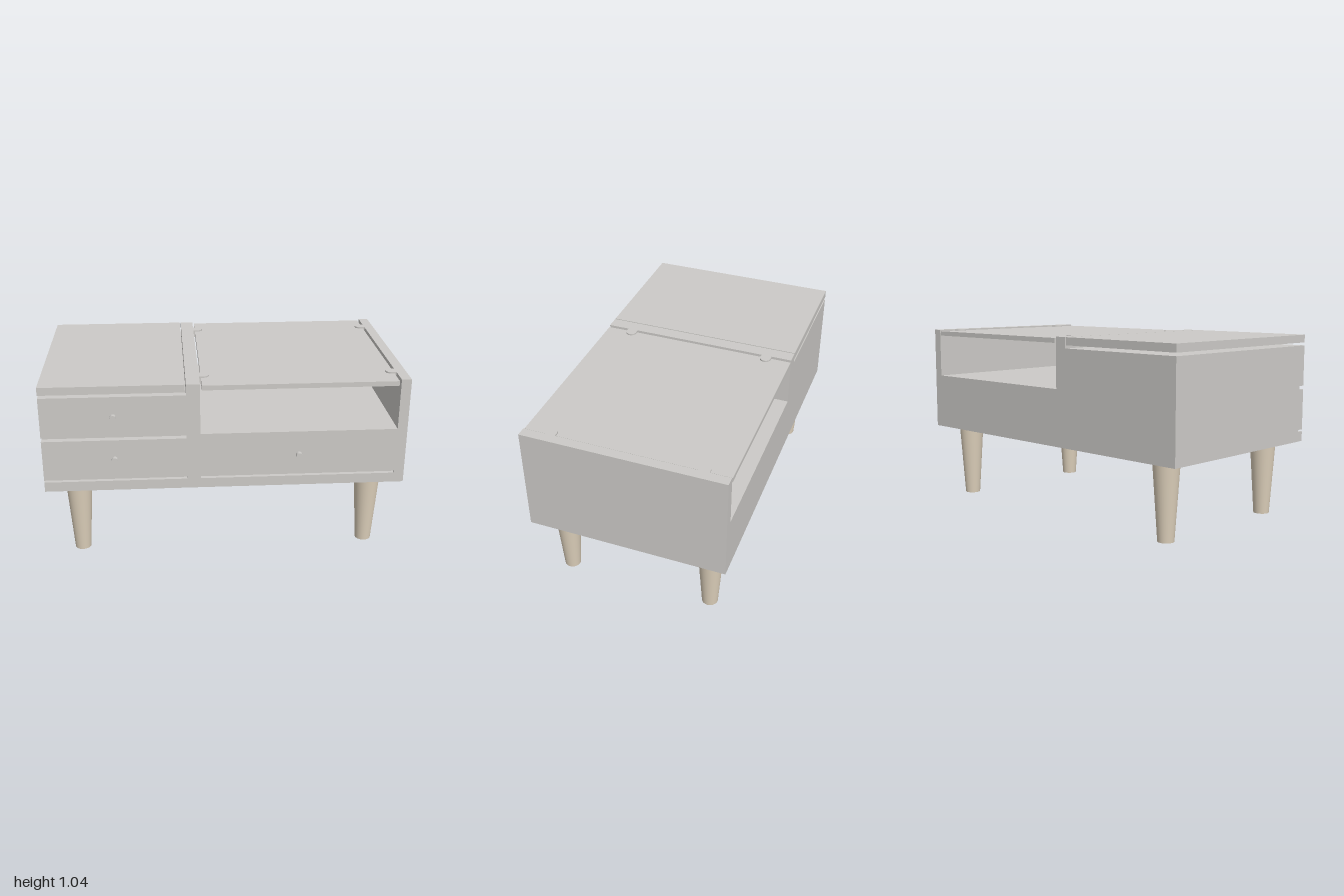
import * as THREE from 'three';

export function createModel() {
  const model = new THREE.Group();
  model.name = 'coffeeTable';
  const grey = new THREE.MeshStandardMaterial({ name: 'warm grey paint', color: 0xcccac7 });
  const wood = new THREE.MeshStandardMaterial({ name: 'pale wood', color: 0xdccfba });

  const BACK = -0.575, FRONT = 0.55, RECESS = 0.512;
  const BASE = 0.428, TOP = 1.04, SHELF = 0.752;
  const DIV_L = -0.215, DIV_R = -0.14, SIDE = 0.945;

  const add = (name, geometry, material, x = 0, y = 0, z = 0) => {
    const mesh = new THREE.Mesh(geometry, material);
    mesh.name = name;
    mesh.position.set(x, y, z);
    model.add(mesh);
    return mesh;
  };
  // box given by its limits on each axis
  const box = (name, x0, x1, y0, y1, z0, z1) =>
    add(name, new THREE.BoxGeometry(x1 - x0, y1 - y0, z1 - z0), grey,
      (x0 + x1) / 2, (y0 + y1) / 2, (z0 + z1) / 2);

  // carcass: base, closed drawer housings, divider and end panel
  box('basePanel', -1, 1, BASE, 0.484, BACK, FRONT);
  box('leftHousing', -1, DIV_L, 0.484, 0.979, BACK, RECESS);
  box('shelfHousing', DIV_R, SIDE, 0.484, SHELF, BACK, RECESS);
  box('divider', DIV_L, DIV_R, 0.484, TOP, BACK, FRONT);
  box('endPanel', SIDE, 1, 0.484, TOP, BACK, FRONT);

  // drawer fronts, separated by shadow gaps
  box('upperDrawerFront', -1, DIV_L, 0.749, 0.979, RECESS, FRONT);
  box('lowerDrawerFront', -1, DIV_L, 0.496, 0.728, RECESS, FRONT);
  box('wideDrawerFront', DIV_R, SIDE, 0.496, SHELF, RECESS, FRONT);

  // knobs
  for (const [x, y] of [[-0.608, 0.863], [-0.608, 0.613], [0.404, 0.613]]) {
    const knob = new THREE.CylinderGeometry(0.018, 0.018, 0.026, 24).rotateX(Math.PI / 2);
    add('drawerKnob', knob, grey, x, y, FRONT + 0.012);
  }

  // tops: one floating lid, one panel carried by the bracket tabs
  box('leftLid', -1, DIV_L - 0.006, 0.996, TOP, BACK, FRONT);
  box('rightTop', -0.13, 0.935, 1.005, 1.032, BACK, FRONT);

  // round-ended bracket tabs reaching in from the divider and end panel
  const tab = new THREE.Shape();
  tab.moveTo(0, -0.03);
  tab.lineTo(0.025, -0.03);
  tab.absarc(0.025, 0, 0.03, -Math.PI / 2, Math.PI / 2, false);
  tab.lineTo(0, 0.03);
  tab.closePath();
  const tabGeometry = new THREE.ExtrudeGeometry(tab, { depth: 0.044, bevelEnabled: false, curveSegments: 16 });
  tabGeometry.rotateX(-Math.PI / 2);
  for (const z of [-0.43, 0.4]) {
    add('dividerTab', tabGeometry, grey, DIV_R, 0.996, z);
    const mirrored = tabGeometry.clone().rotateY(Math.PI);
    add('endPanelTab', mirrored, grey, SIDE, 0.996, z);
  }

  // tapered legs
  const legGeometry = new THREE.CylinderGeometry(0.074, 0.045, BASE, 32);
  for (const x of [-0.825, 0.825])
    for (const z of [-0.437, 0.415])
      add('leg', legGeometry, wood, x, BASE / 2, z);

  return model;
}
